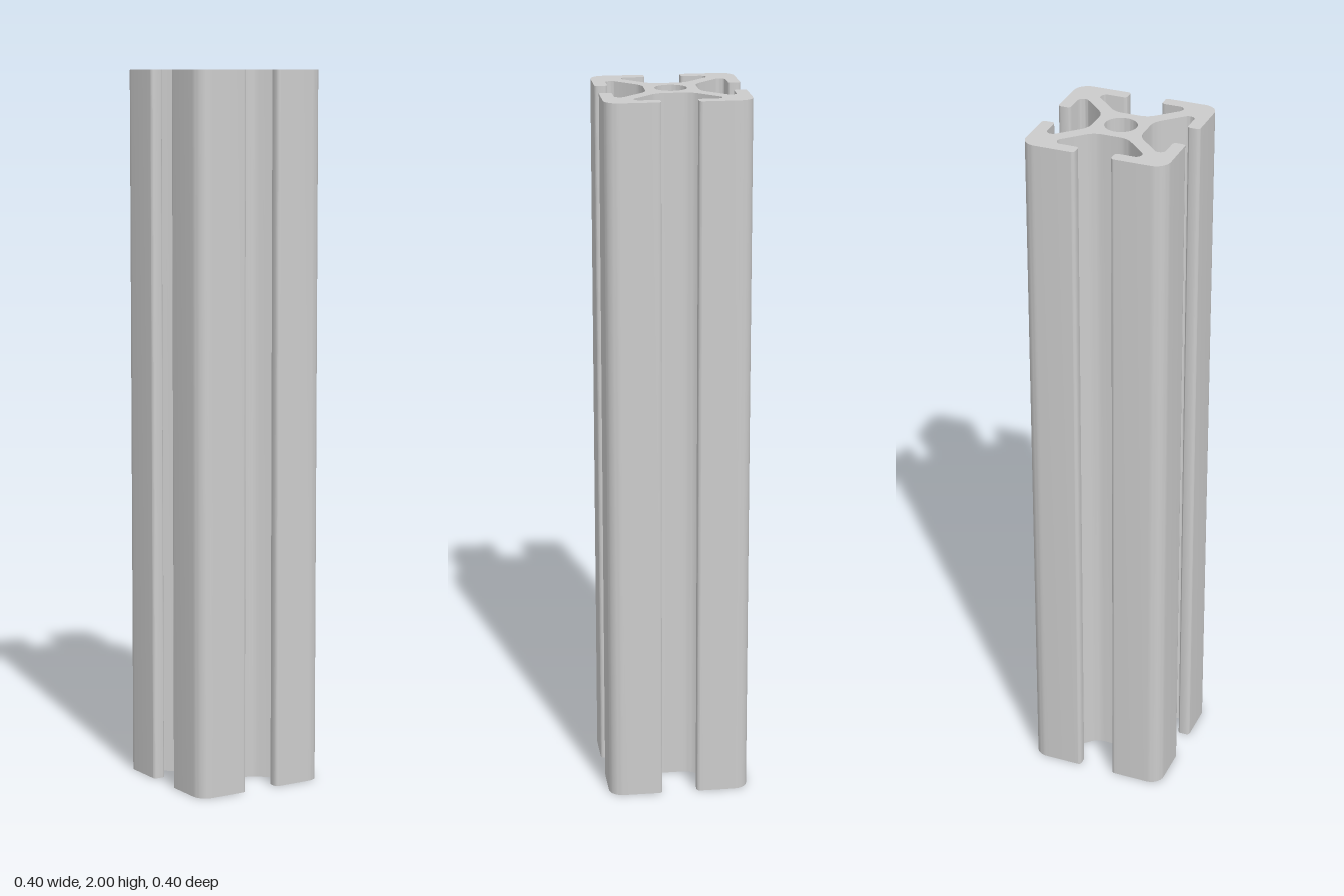
import * as THREE from 'three';
import { toCreasedNormals } from 'three/addons/utils/BufferGeometryUtils.js';

const LENGTH = 2;
const BORE_RADIUS = 0.044;

// One quarter of the cross-section, counter-clockwise: x, y, fillet radius
const QUARTER = [
  [0.072, 0.047, 0.053], // core to web
  [0.142, 0.117, 0.015], // slot pocket
  [0.165, 0.117, 0.015],
  [0.165, 0.05, 0.009], // lip
  [0.2, 0.05, 0.009],
  [0.2, 0.2, 0.04], // outer corner
  [0.05, 0.2, 0.009], // lip
  [0.05, 0.165, 0.009],
  [0.117, 0.165, 0.015], // slot pocket
  [0.117, 0.142, 0.015],
  [0.047, 0.072, 0.053], // web to core
];

// Replaces each corner of a closed outline with an arc of its radius
function filletOutline(corners) {
  const points = [];
  const n = corners.length;
  corners.forEach(({ p, r }, i) => {
    const u = corners[(i + n - 1) % n].p.clone().sub(p).normalize();
    const v = corners[(i + 1) % n].p.clone().sub(p).normalize();
    const half = Math.acos(u.dot(v)) / 2;
    const center = u.clone().add(v).normalize().multiplyScalar(r / Math.sin(half)).add(p);
    const start = u.clone().multiplyScalar(r / Math.tan(half)).add(p).sub(center);
    const turn = -Math.sign(u.cross(v)) * (Math.PI - 2 * half);
    const steps = Math.ceil(Math.abs(turn) / 0.16);
    for (let k = 0; k <= steps; k++) {
      points.push(start.clone().rotateAround(new THREE.Vector2(), (turn * k) / steps).add(center));
    }
  });
  return points;
}

export function createModel() {
  // Four rotated quarters make the full outline
  const corners = [];
  for (let q = 0; q < 4; q++) {
    for (const [x, y, r] of QUARTER) {
      const p = new THREE.Vector2(x, y).rotateAround(new THREE.Vector2(), (q * Math.PI) / 2);
      corners.push({ p, r });
    }
  }
  const shape = new THREE.Shape(filletOutline(corners));

  // Central bore
  shape.holes.push(new THREE.Path().absarc(0, 0, BORE_RADIUS, 0, Math.PI * 2, true));

  // Extrude upwards, smooth on fillets and sharp at the cut ends
  const extruded = new THREE.ExtrudeGeometry(shape, { depth: LENGTH, bevelEnabled: false, curveSegments: 24 });
  extruded.rotateX(-Math.PI / 2);
  const geometry = toCreasedNormals(extruded, 0.5);

  const rail = new THREE.Mesh(geometry, new THREE.MeshStandardMaterial({ color: 0xcccccc }));
  rail.name = 'slottedRail';

  const group = new THREE.Group();
  group.name = 'slottedExtrusion';
  group.add(rail);
  return group;
}
